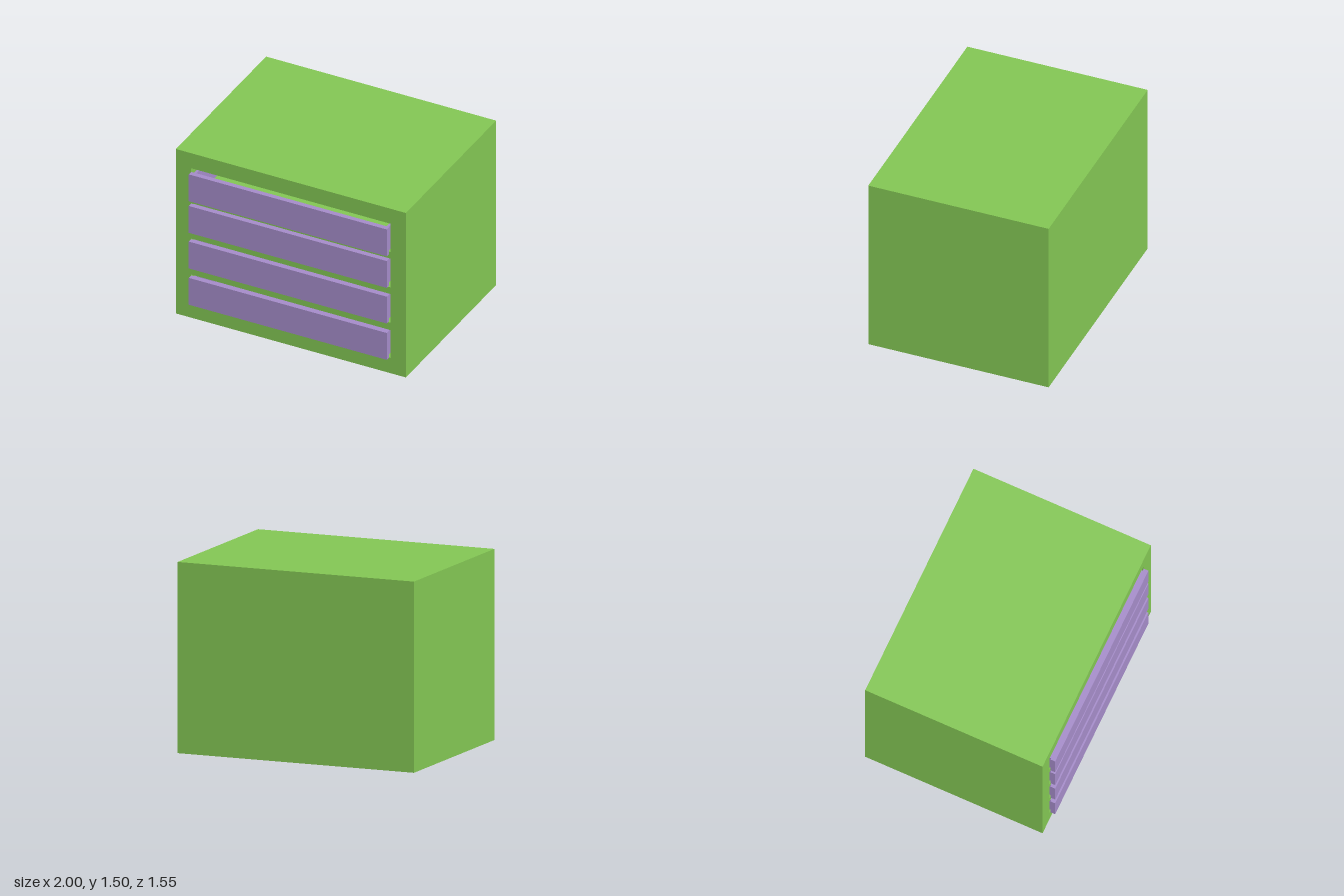
import * as THREE from 'three';

const green = new THREE.MeshStandardMaterial({ color: 0x82c553 });
const purple = new THREE.MeshStandardMaterial({ color: 0xa48bc8 });

// Box given by its minimum and maximum corners
function box(name, material, [x0, y0, z0], [x1, y1, z1]) {
  const mesh = new THREE.Mesh(new THREE.BoxGeometry(x1 - x0, y1 - y0, z1 - z0), material);
  mesh.position.set((x0 + x1) / 2, (y0 + y1) / 2, (z0 + z1) / 2);
  mesh.name = name;
  return mesh;
}

function rectangle(PathType, x0, y0, x1, y1) {
  return new PathType([[x0, y0], [x1, y0], [x1, y1], [x0, y1]].map(p => new THREE.Vector2(...p)));
}

const BACK = -0.775, FRONT = 0.73, WALL = 0.04;
// Opening bottom and top, drawer front bottom
const bays = [
  [0.14, 0.393, 0.144],
  [0.46, 0.722, 0.475],
  [0.782, 1.045, 0.8],
  [1.105, 1.363, 1.088],
];

// Open tray with a wider front panel
function createDrawer(y) {
  const drawer = new THREE.Group();
  drawer.name = 'drawer';
  const x0 = -0.85, x1 = 0.845, y0 = y + 0.012, y1 = y + 0.232;
  const z0 = BACK + WALL + 0.02, z1 = 0.735, t = 0.02;
  drawer.add(
    box('drawerFront', purple, [-0.865, y, z1], [0.858, y + 0.245, 0.775]),
    box('drawerSideRight', purple, [x0, y0, z0], [x0 + t, y1, z1]),
    box('drawerSideLeft', purple, [x1 - t, y0, z0], [x1, y1, z1]),
    box('drawerBack', purple, [x0 + t, y0, z0], [x1 - t, y1, z0 + t]),
    box('drawerInnerFront', purple, [x0 + t, y0, z1 - t], [x1 - t, y1, z1]),
    // Thin base sheet
    box('drawerBase', purple, [x0 + t, y0, z0 + t], [x1 - t, y0 + 0.004, z1 - t]),
  );
  return drawer;
}

export function createModel() {
  const model = new THREE.Group();
  model.name = 'chestOfDrawers';

  // Cabinet with one deep opening per drawer
  const outline = rectangle(THREE.Shape, -1, 0, 1, 1.5);
  for (const [bottom, top] of bays) {
    outline.holes.push(rectangle(THREE.Path, -0.87, bottom, 0.867, top));
  }
  const cabinet = new THREE.Mesh(
    new THREE.ExtrudeGeometry(outline, { depth: FRONT - BACK - WALL, bevelEnabled: false }), green);
  cabinet.position.z = BACK + WALL;
  cabinet.name = 'cabinet';
  model.add(cabinet, box('cabinetBack', green, [-1, 0, BACK], [1, 1.5, BACK + WALL]));

  for (const [, , y] of bays) model.add(createDrawer(y));
  return model;
}
